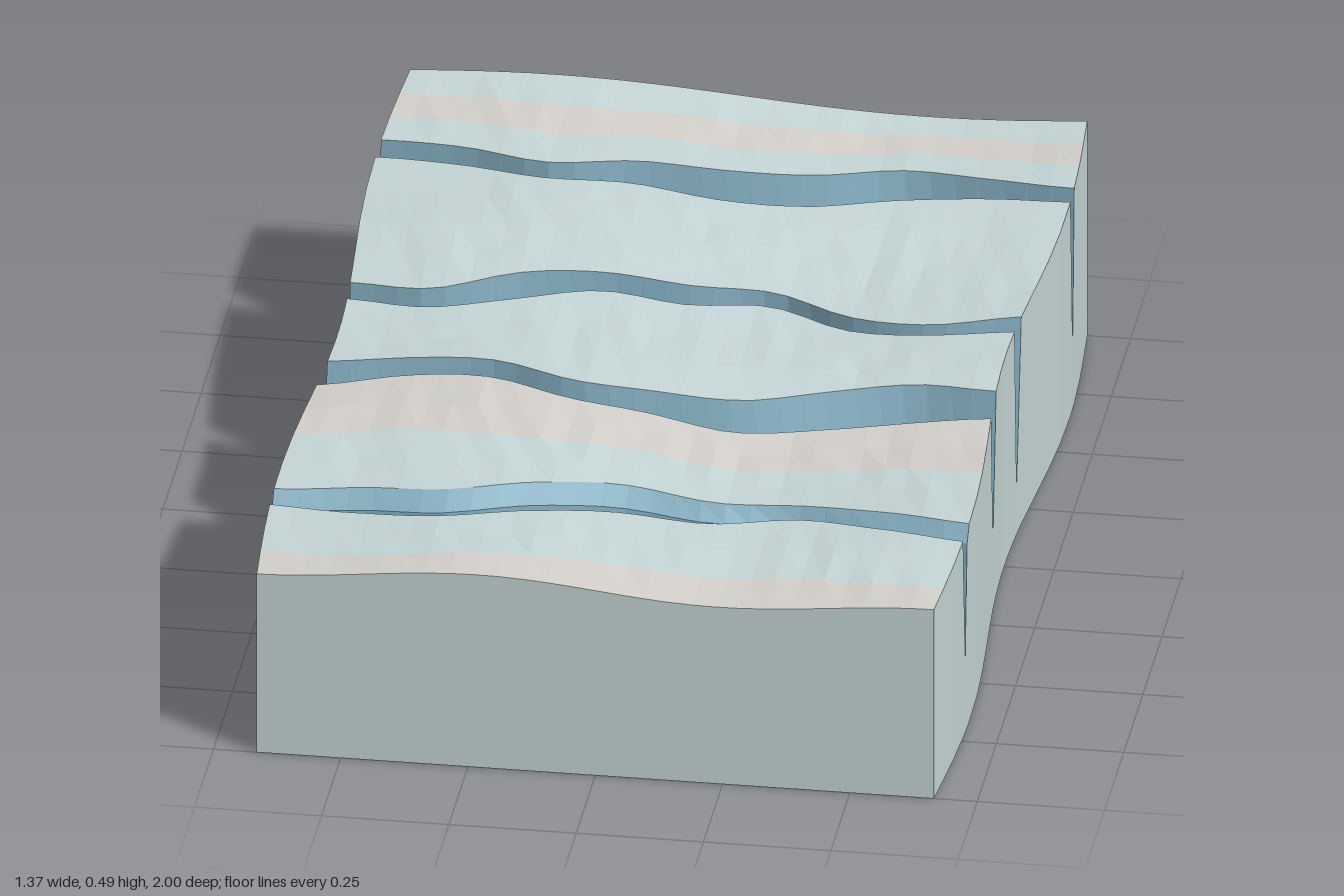
import * as THREE from 'three';

const COLS = 28;
const ICE = 0xc6d6d6, SNOW = 0xd4d1cc, WALL = 0x86b0c2;

// z of each crevasse's lines across the block, evenly spaced from right (-x) to left (+x)
const CREVASSES = [
  { tip: 0.135,
    back: [-.735, -.71, -.66, -.695, -.698, -.72, -.77, -.745, -.71],
    floor: [-.695, -.665, -.62, -.63, -.63, -.645, -.70, -.70, -.685],
    front: [-.67, -.64, -.595, -.6, -.575, -.59, -.645, -.665, -.655] },
  { tip: 0.10,
    back: [-.165, -.145, -.215, -.245, -.24, -.255, -.18, -.155, -.185],
    floor: [-.12, -.105, -.16, -.2, -.19, -.22, -.17, -.125, -.14],
    front: [-.105, -.075, -.115, -.175, -.165, -.2, -.125, -.11, -.12] },
  { tip: 0.15,
    back: [.14, .13, .14, .2, .2, .19, .13, .095, .12],
    floor: [.2, .185, .195, .255, .27, .265, .22, .175, .185],
    front: [.24, .205, .21, .27, .285, .31, .275, .245, .225] },
  { tip: 0.16,
    back: [.65, .64, .65, .60, .565, .59, .585, .62, .665],
    lip: [.68, .675, .69, .64, .605, .62, .60, .645, .69],
    floor: [.70, .705, .72, .675, .64, .65, .62, .665, .712],
    front: [.71, .74, .76, .72, .68, .68, .645, .69, .735] },
];

// Smooth line z(t), t from 0 to 1 across the block
function line(values) {
  const curve = new THREE.SplineCurve(values.map((z, i) => new THREE.Vector2(i, z)));
  return (t) => curve.getPoint(t).y;
}

const halfWidth = (z) => 0.668 - 0.016 * Math.cos(4.9 * z);

// Gently rising, rippled upper surface
const height = (x, z) =>
  0.437 - 0.036 * z - 0.015 * Math.sin((5.75 + 1.25 * z) * x) + 0.004 * Math.sin(9 * z + 3 * x);

const bump = (r, c) => {
  const s = Math.sin(r * 12.99 + c * 78.23) * 43758.5;
  return (s - Math.floor(s) - 0.5) * 0.007;
};

// Flat-shaded surface from one or more grids; the normal is (row step) x (column step)
function surface(name, color, grids) {
  const pos = [];
  for (const g of grids) {
    for (let i = 0; i + 1 < g.length; i++) {
      for (let j = 0; j + 1 < g[i].length; j++) {
        const a = g[i][j], b = g[i][j + 1], c = g[i + 1][j + 1], d = g[i + 1][j];
        for (const p of [a, d, c, a, c, b]) pos.push(p.x, p.y, p.z);
      }
    }
  }
  const geo = new THREE.BufferGeometry();
  geo.setAttribute('position', new THREE.Float32BufferAttribute(pos, 3));
  geo.computeVertexNormals();
  const mesh = new THREE.Mesh(geo, new THREE.MeshStandardMaterial({ color, flatShading: true }));
  mesh.name = name;
  return mesh;
}

export function createModel() {
  const group = new THREE.Group();
  group.name = 'crevassedIceBlock';

  // Rows run from back to front; kind names the strip that follows each row
  const rows = [];
  function addRow(z, kind, y, rough = 0) {
    const r = rows.length, points = [];
    for (let c = 0; c <= COLS; c++) {
      const t = c / COLS, zz = z(t), x = (2 * t - 1) * halfWidth(zz);
      const inner = c > 0 && c < COLS ? rough : 0;
      points.push(new THREE.Vector3(x, y ? y(x, zz) : height(x, zz) + inner * bump(r, c), zz));
    }
    rows.push({ points, kind });
  }

  // Surface slabs between crevasses; snow lists the paler strips of each slab
  const snow = [[1], [], [], [0, 1], [2]];
  let from = () => -1;
  for (let s = 0; s <= CREVASSES.length; s++) {
    const cr = CREVASSES[s];
    const start = from, end = cr ? line(cr.back) : () => 1;
    const steps = s === 1 || s === 3 ? 4 : 3;
    for (let k = 0; k < steps; k++) {
      const f = k / steps;
      addRow((t) => THREE.MathUtils.lerp(start(t), end(t), f),
        snow[s].includes(k) ? 'snow' : 'ice', null, k ? 1 : 0);
    }
    if (!cr) { addRow(end, 'end'); break; }
    // V-shaped crevasse, with a sloping ledge where it has a lip
    addRow(end, 'wall');
    if (cr.lip) addRow(line(cr.lip), 'wall', (x, z) => height(x, z) - 0.03);
    addRow(line(cr.floor), 'wall', () => cr.tip);
    from = line(cr.front);
  }

  // Crevasse front walls end on the first row of the next slab
  const strips = (kind) => rows.slice(0, -1)
    .map((row, i) => (row.kind === kind ? [row.points, rows[i + 1].points] : null))
    .filter(Boolean);
  group.add(surface('iceSurface', ICE, strips('ice')));
  group.add(surface('snowPatches', SNOW, strips('snow')));
  group.add(surface('crevasseWalls', WALL, strips('wall')));

  // Block sides, ends and base
  const ground = (p) => new THREE.Vector3(p.x, 0, p.z);
  const leftTop = rows.map((r) => r.points[COLS]);
  const rightTop = rows.map((r) => r.points[0]);
  const leftBase = leftTop.map(ground), rightBase = rightTop.map(ground);
  const back = rows[0].points, front = rows[rows.length - 1].points;
  group.add(surface('leftSide', ICE, [[leftBase, leftTop]]));
  group.add(surface('rightSide', ICE, [[rightTop, rightBase]]));
  group.add(surface('frontFace', ICE, [front.map((p) => [ground(p), p])]));
  group.add(surface('backFace', ICE, [back.map((p) => [p, ground(p)])]));
  group.add(surface('base', ICE, [[rightBase, leftBase]]));
  return group;
}
